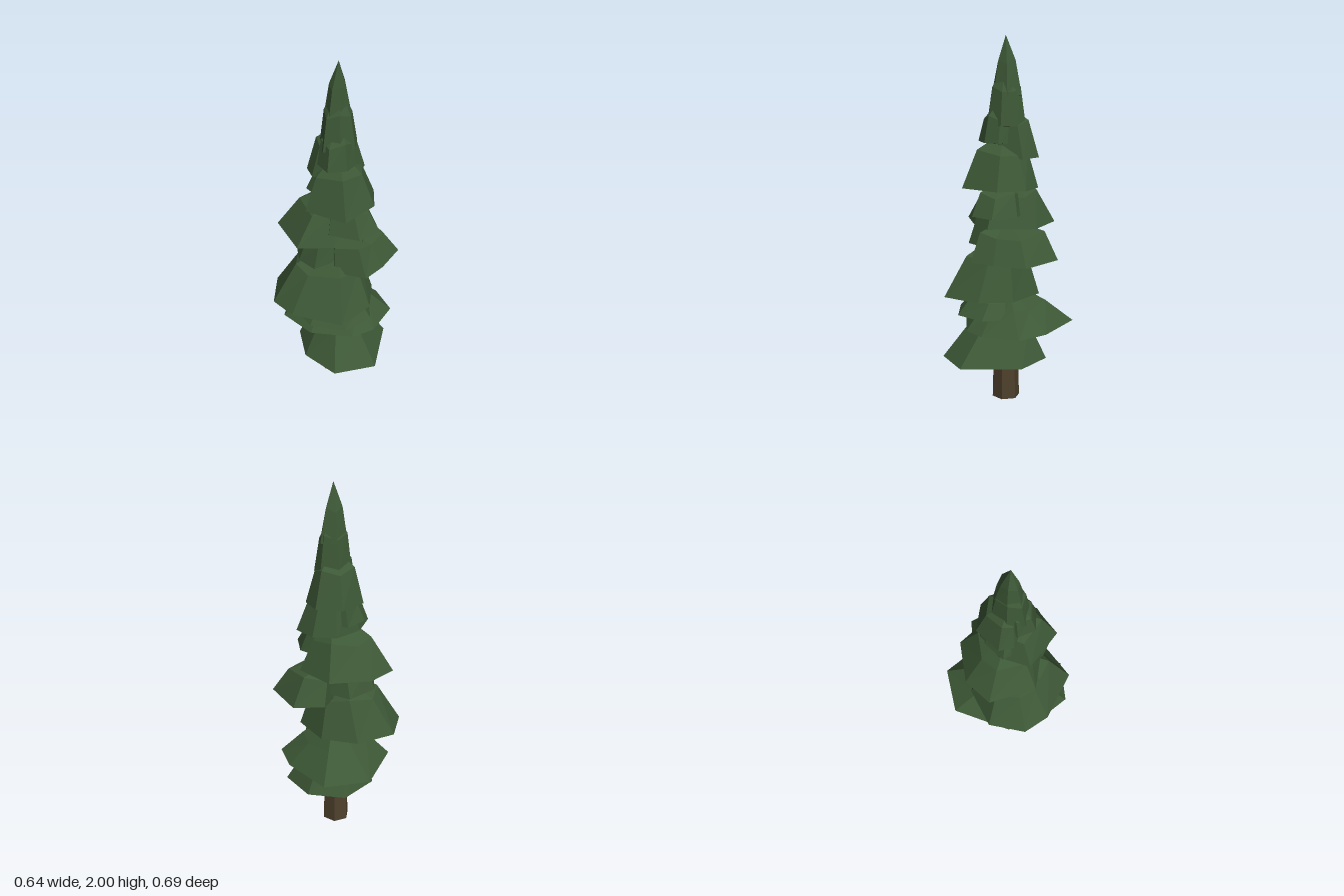
import * as THREE from 'three';

const foliage = new THREE.MeshStandardMaterial({ color: 0x3d5836, flatShading: true });
foliage.name = 'pine green';
const bark = new THREE.MeshStandardMaterial({ color: 0x4e402c, flatShading: true });
bark.name = 'bark brown';

// Lopsided skirt of branches: a rim, a smaller upper ring, a peak and a shallow underside.
// rim holds [x, z] corners running from +x towards +z.
function skirt(name, rimY, ringY, peakY, scale, rim, sag = 0.04) {
  const cx = 0.015, cz = 0.01;
  const mx = rim.reduce((s, p) => s + p[0], 0) / rim.length;
  const mz = rim.reduce((s, p) => s + p[1], 0) / rim.length;
  const low = rim.map(([x, z]) => [x, rimY, z]);
  const high = rim.map(([x, z], i) => [
    cx + (x - cx) * scale, ringY + (i % 2 ? 0.012 : -0.012), cz + (z - cz) * scale,
  ]);
  const peak = [cx + 0.008, peakY, cz];
  const base = [mx, rimY - sag, mz];
  const v = [];
  rim.forEach((_, i) => {
    const j = (i + 1) % rim.length;
    v.push(...low[i], ...high[i], ...low[j]);
    v.push(...high[i], ...high[j], ...low[j]);
    v.push(...high[i], ...peak, ...high[j]);
    v.push(...low[i], ...low[j], ...base);
  });
  const g = new THREE.BufferGeometry();
  g.setAttribute('position', new THREE.Float32BufferAttribute(v, 3));
  g.computeVertexNormals();
  const mesh = new THREE.Mesh(g, foliage);
  mesh.name = name;
  return mesh;
}

export function createModel() {
  const tree = new THREE.Group();
  tree.name = 'pineTree';

  // Six-sided trunk
  const trunk = new THREE.Mesh(new THREE.CylinderGeometry(0.062, 0.076, 0.5, 6), bark);
  trunk.name = 'trunk';
  trunk.rotation.y = 0.4;
  trunk.position.set(0.012, 0.25, 0.013);
  tree.add(trunk);

  // Broad lower branches
  tree.add(
    skirt('bottomBranches', 0.25, 0.425, 0.56, 0.58,
      [[0.32, 0.205], [0.13, 0.343], [-0.08, 0.26], [-0.19, 0.08], [-0.14, -0.15], [0.06, -0.22], [0.26, -0.12]]),
    skirt('secondBranches', 0.42, 0.535, 0.68, 0.58,
      [[0.27, 0.1], [0.18, 0.2], [-0.05, 0.25], [-0.25, 0.16], [-0.305, -0.175], [-0.115, -0.345], [0.17, -0.235], [0.3, -0.11]], 0.025),
    skirt('frontFillBranches', 0.5, 0.59, 0.7, 0.72,
      [[0.25, 0.1], [0.16, 0.25], [-0.04, 0.28], [-0.17, 0.18], [-0.14, 0], [0.05, -0.06], [0.2, -0.02]], 0.02),
    skirt('thirdBranches', 0.6, 0.81, 0.95, 0.64,
      [[0.25, 0.12], [0.165, 0.325], [-0.12, 0.34], [-0.26, 0.27], [-0.325, 0.07], [-0.2, -0.12], [0, -0.17], [0.2, -0.06]], 0.03),
  );

  // Middle branches
  tree.add(
    skirt('leftBackBranches', 0.82, 0.96, 1.02, 0.74,
      [[0.29, 0.03], [0.24, 0.16], [0.06, 0.17], [-0.02, 0], [-0.04, -0.2], [0.105, -0.287], [0.32, -0.15]], 0.03),
    skirt('rightFillBranches', 0.86, 0.97, 1.08, 0.82,
      [[0.04, 0.14], [-0.03, 0.23], [-0.14, 0.18], [-0.21, 0.05], [-0.15, -0.12], [0.03, -0.12], [0.1, 0]], 0.01),
    skirt('fourthBranches', 0.99, 1.16, 1.28, 0.62,
      [[0.19, 0.08], [0.06, 0.18], [-0.12, 0.25], [-0.31, 0.07], [-0.27, -0.1], [-0.09, -0.24], [0.13, -0.17]], 0.03),
    skirt('leftFillBranches', 1.06, 1.17, 1.25, 0.76,
      [[0.27, 0.04], [0.2, 0.16], [0.03, 0.17], [-0.04, 0.02], [0.03, -0.1], [0.18, -0.08]], 0.02),
    skirt('fifthBranches', 1.2, 1.39, 1.5, 0.66,
      [[0.23, 0.02], [0.145, 0.225], [-0.09, 0.195], [-0.125, 0.03], [-0.07, -0.12], [0.05, -0.17], [0.175, -0.125]], 0.02),
    skirt('smallRightBranches', 1.25, 1.36, 1.48, 0.75,
      [[0.06, 0.06], [-0.03, 0.13], [-0.14, 0.06], [-0.11, -0.07], [0.02, -0.09]], 0.015),
  );

  // Narrow upper branches and spire
  tree.add(
    skirt('sixthBranches', 1.36, 1.545, 1.64, 0.68,
      [[0.11, 0.04], [0.02, 0.1], [-0.09, 0.1], [-0.145, 0.035], [-0.105, -0.12], [0.03, -0.17], [0.13, -0.1]], 0.015),
    skirt('seventhBranches', 1.44, 1.57, 1.7, 0.8,
      [[0.13, 0.03], [0.11, 0.11], [0.02, 0.16], [-0.06, 0.1], [-0.05, -0.04], [0.06, -0.08]], 0.015),
    skirt('eighthBranches', 1.53, 1.72, 1.86, 0.74,
      [[0.12, 0.02], [0.07, 0.1], [-0.02, 0.12], [-0.07, 0.04], [-0.05, -0.06], [0.04, -0.1], [0.1, -0.06]], 0.015),
    skirt('spire', 1.69, 1.86, 2, 0.6,
      [[0.09, -0.01], [0.06, 0.07], [0, 0.09], [-0.05, 0.03], [-0.03, -0.05], [0.05, -0.08]], 0.015),
  );
  return tree;
}
